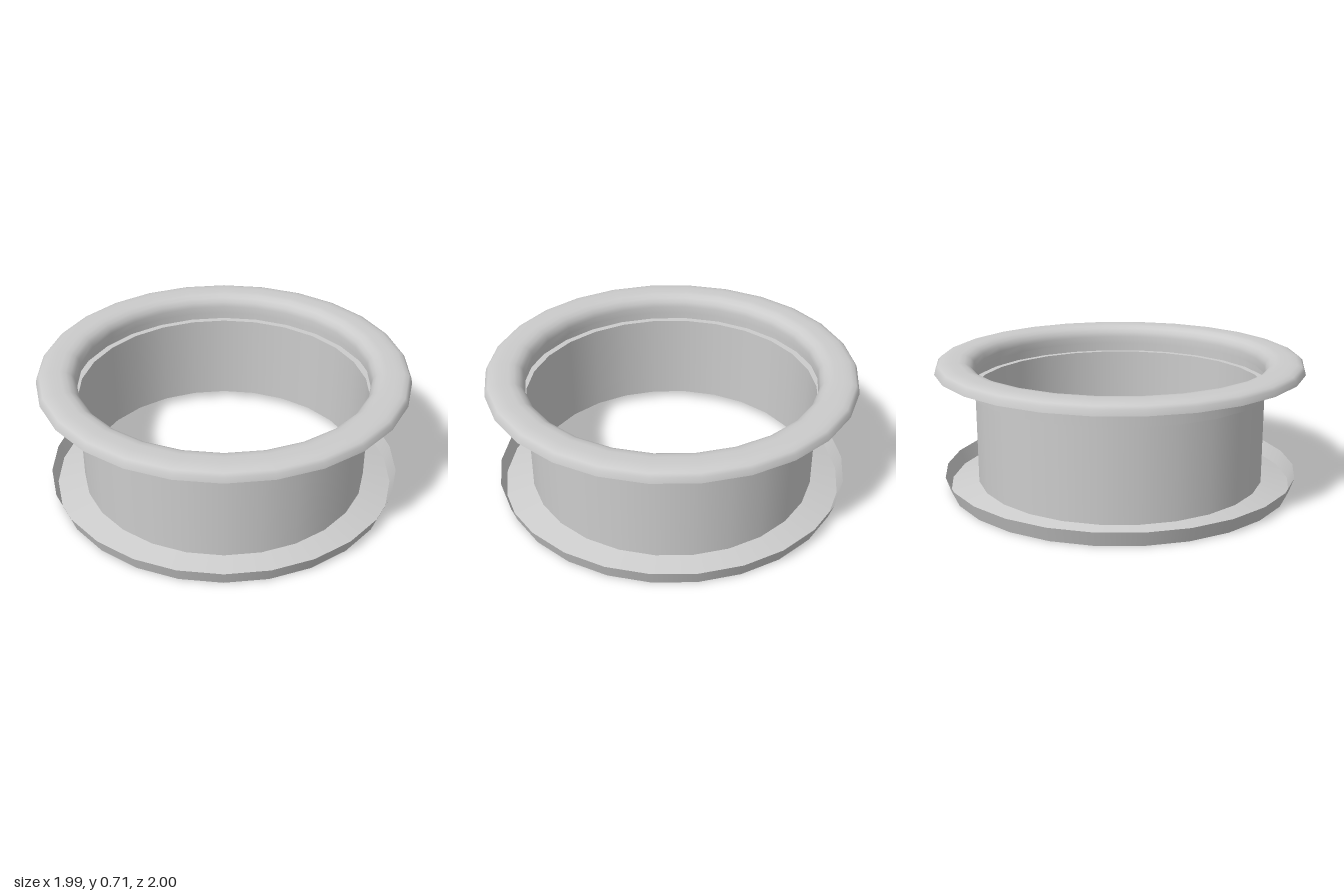
import * as THREE from 'three';

const SIDES = 26;

export function createModel() {
  const group = new THREE.Group();
  group.name = 'flangedRing';
  const material = new THREE.MeshStandardMaterial({ color: 0xcccccc, side: THREE.DoubleSide });

  // One turned sheet-metal section; smooth along its profile, creased where sections meet
  const section = (name, points, parent = group) => {
    const profile = points.map(([r, y]) => new THREE.Vector2(r, y));
    const mesh = new THREE.Mesh(new THREE.LatheGeometry(profile, SIDES), material);
    mesh.name = name;
    parent.add(mesh);
  };

  // Dished lower flange: flared lip and a floor rising to the barrel
  section('lowerLip', [[0.97, 0.08], [0.943, 0]]);
  section('lowerFloor', [[0.943, 0], [0.865, 0.022], [0.79, 0.043]]);

  // Thin straight barrel
  section('barrel', [[0.79, 0.043], [0.79, 0.55]]);

  // Square bead pressed outwards, hollow on the inside
  const bead = new THREE.Group();
  bead.name = 'bead';
  group.add(bead);
  const corners = [[0.79, 0.55], [0.826, 0.55], [0.826, 0.605], [0.79, 0.605]];
  ['beadBottom', 'beadWall', 'beadTop'].forEach((name, i) =>
    section(name, [corners[i], corners[i + 1]], bead));

  // Neck rolling out into the rounded upper flange
  section('upperFlange', [
    [0.79, 0.605], [0.79, 0.645], [0.797, 0.672], [0.815, 0.693], [0.84, 0.706],
    [0.87, 0.71], [0.92, 0.71], [0.955, 0.707], [0.98, 0.698], [0.993, 0.683], [1, 0.655],
  ]);

  return group;
}
